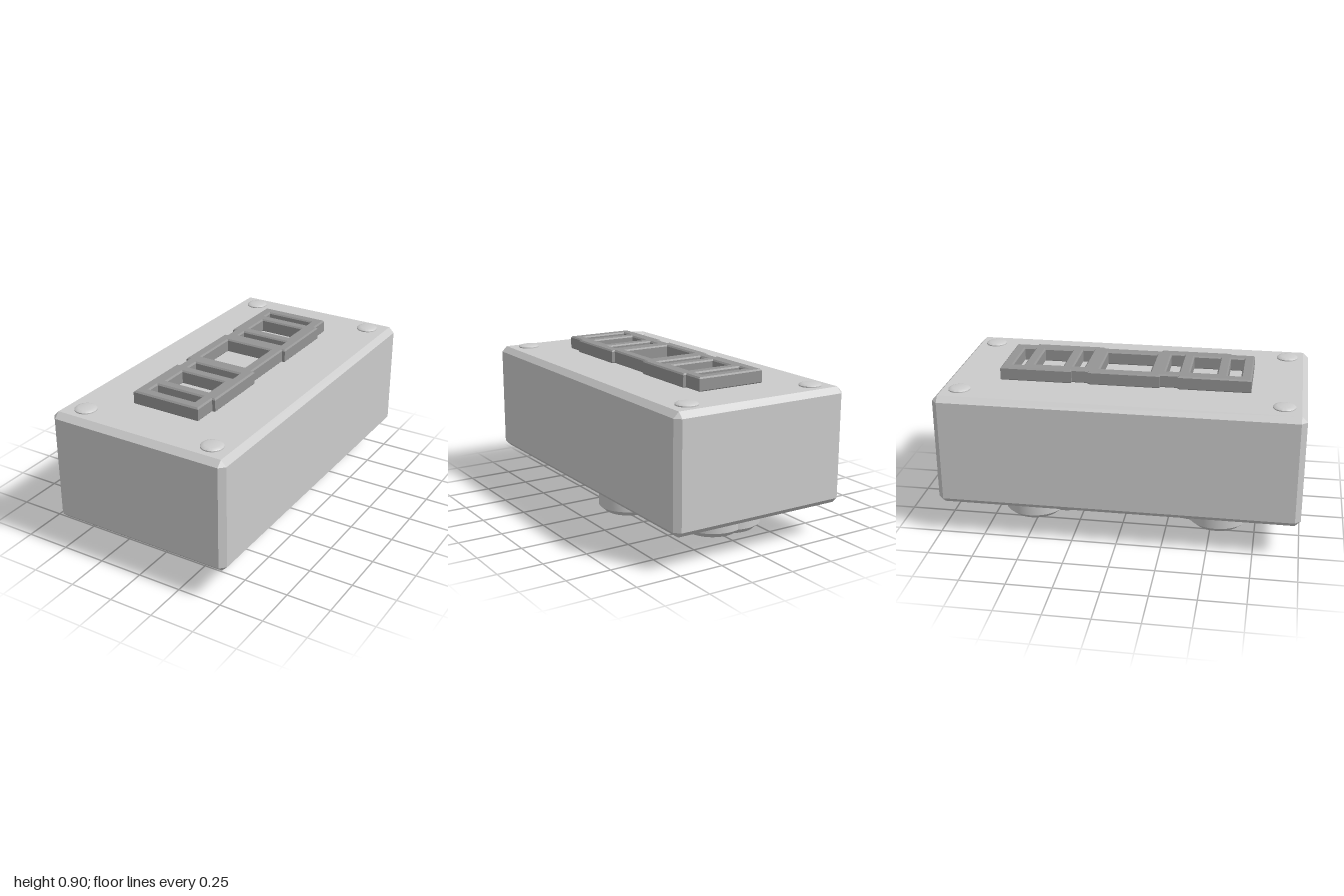
import * as THREE from 'three';
import { toCreasedNormals } from 'three/addons/utils/BufferGeometryUtils.js';
import { ConvexGeometry } from 'three/addons/geometries/ConvexGeometry.js';

const grey = new THREE.MeshStandardMaterial({ color: 0xcccccc });
const dark = new THREE.MeshStandardMaterial({ color: 0x949494 });

// Box with flat chamfers on every edge and corner
function chamferedBox(w, h, d, c) {
  const points = [];
  for (const x of [-1, 1]) for (const y of [-1, 1]) for (const z of [-1, 1]) {
    for (let axis = 0; axis < 3; axis++) {
      const inset = [c, c, c];
      inset[axis] = 0;
      points.push(new THREE.Vector3(
        x * (w / 2 - inset[0]), y * (h / 2 - inset[1]), z * (d / 2 - inset[2])));
    }
  }
  return new ConvexGeometry(points);
}

// Turned part from a profile of [radius, y], listed bottom to top
function turned(profile) {
  const points = profile.map(([r, y]) => new THREE.Vector2(r, y));
  return toCreasedNormals(new THREE.LatheGeometry(points, 48), 0.5);
}

// Square link with a square opening and softly bevelled edges, lying flat
function squareLink(size, opening, height) {
  const bevel = 0.008;
  const corners = (s) => [[-s, -s], [s, -s], [s, s], [-s, s]].map(([x, y]) => new THREE.Vector2(x, y));
  const shape = new THREE.Shape(corners(size / 2 - bevel));
  shape.holes.push(new THREE.Path(corners(opening / 2 + bevel).reverse()));
  const geometry = new THREE.ExtrudeGeometry(shape, {
    depth: height - 2 * bevel, bevelEnabled: true,
    bevelSize: bevel, bevelThickness: bevel, bevelSegments: 1,
  });
  geometry.translate(0, 0, bevel);
  return geometry.rotateX(-Math.PI / 2);
}

export function createModel() {
  const model = new THREE.Group();
  const add = (parent, name, geometry, x, y, z, material = grey) => {
    const mesh = new THREE.Mesh(geometry, material);
    mesh.name = name;
    mesh.position.set(x, y, z);
    parent.add(mesh);
  };
  const group = (name) => {
    const g = new THREE.Group();
    g.name = name;
    model.add(g);
    return g;
  };

  // Main block
  add(model, 'body', chamferedBox(1.05, 0.635, 2, 0.031), 0, 0.5075, 0);

  // Rivets at the four top corners
  const rivets = group('cornerRivets');
  const rivet = turned([[0.06, -0.005], [0.06, 0.006], [0.054, 0.011], [0.04, 0.015], [0, 0.015]]);
  for (const x of [-0.387, 0.387]) for (const z of [-0.877, 0.877]) add(rivets, 'rivet', rivet, x, 0.825, z);

  // Chain of five interlocked square links on the lid
  const chain = group('linkChain');
  const link = squareLink(0.4, 0.28, 0.078);
  [[-0.013, -0.493], [0.005, -0.372], [-0.013, -0.002], [0.005, 0.362], [-0.013, 0.495]]
    .forEach(([x, z]) => add(chain, 'link', link, x, 0.822, z, dark));

  // Clusters of round feet, each foot set in a thin collar
  const r = 0.175;
  const foot = turned([[0, 0], [r - 0.034, 0], [r, 0.031], [r, 0.2]]);
  const collar = turned([[0, 0], [r + 0.043, 0], [r + 0.043, 0.01], [0, 0.01]]);
  const cluster = (name, feet) => {
    const g = group(name);
    for (const [x, z] of feet) {
      add(g, 'foot', foot, x, 0, z);
      add(g, 'collar', collar, x, 0.184, z);
    }
  };
  const near = -0.013, far = -0.127;
  cluster('frontFeet', [[near, 0.535], [near, 0.385], [far, 0.535]]);
  cluster('middleFeet', [[0.195, 0], [0, 0]]);
  cluster('rearFeet', [[near, -0.535], [near, -0.37], [far, -0.535]]);

  return model;
}
